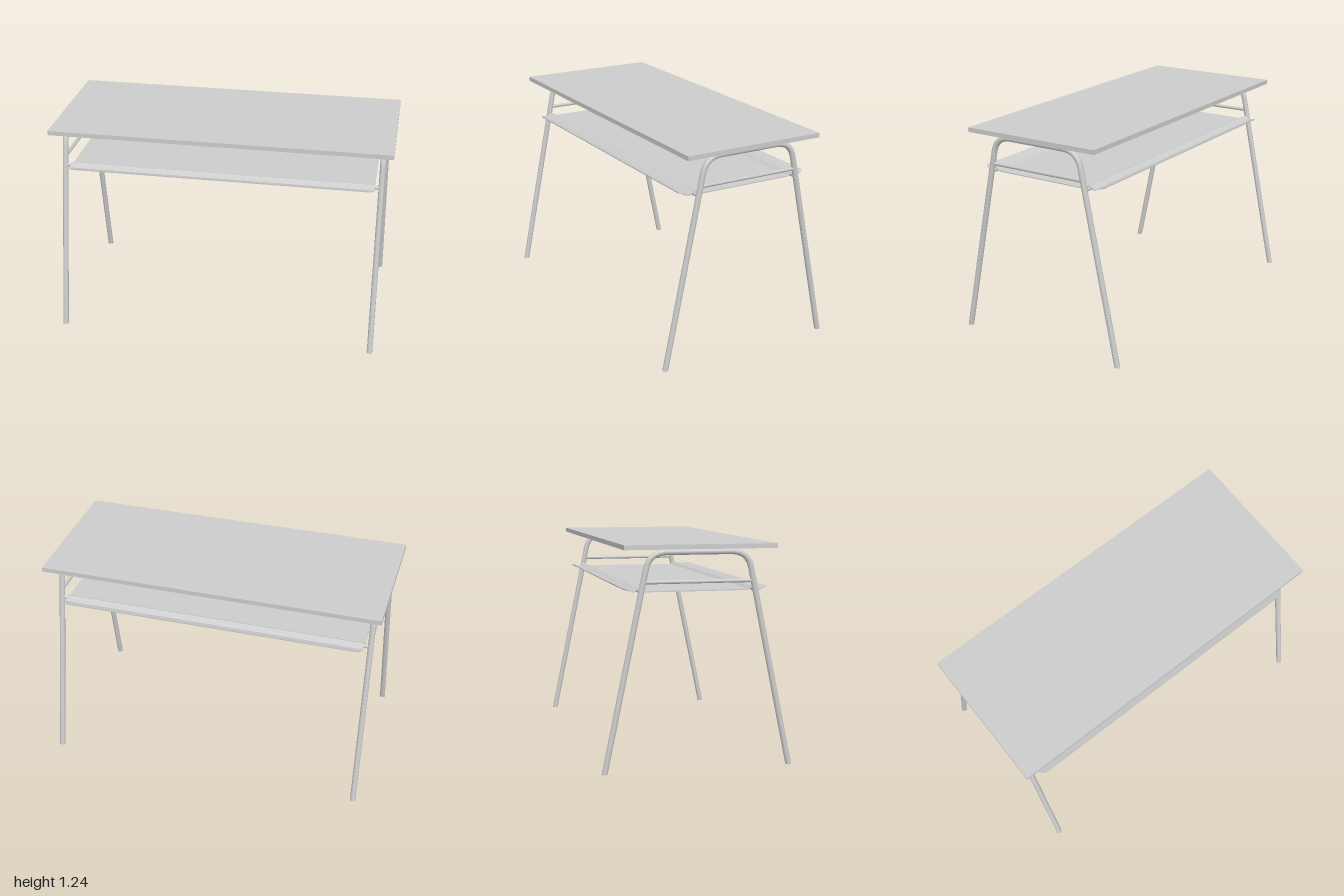
import * as THREE from 'three';
import { toCreasedNormals } from 'three/addons/utils/BufferGeometryUtils.js';

const material = new THREE.MeshStandardMaterial({ color: 0xcccccc });

function add(parent, name, geometry, x = 0, y = 0, z = 0) {
  const mesh = new THREE.Mesh(geometry, material);
  mesh.name = name;
  mesh.position.set(x, y, z);
  parent.add(mesh);
  return mesh;
}

// Bent tube: two splayed legs joined by a rounded top, cut flat at the floor
function legGeometry(radius) {
  const v = (z, y) => new THREE.Vector3(0, y, z);
  const path = new THREE.CurvePath();
  path.add(new THREE.LineCurve3(v(0.525, 0), v(0.294, 1.11)));
  path.add(new THREE.QuadraticBezierCurve3(v(0.294, 1.11), v(0.276, 1.201), v(0.175, 1.201)));
  path.add(new THREE.LineCurve3(v(0.175, 1.201), v(-0.175, 1.201)));
  path.add(new THREE.QuadraticBezierCurve3(v(-0.175, 1.201), v(-0.276, 1.201), v(-0.294, 1.11)));
  path.add(new THREE.LineCurve3(v(-0.294, 1.11), v(-0.525, 0)));
  const geometry = new THREE.TubeGeometry(path, 120, radius, 16);
  const p = geometry.attributes.position;
  for (let i = 0; i < p.count; i++) {
    if (p.getY(i) < 0.01) p.setY(i, 0);
  }
  return geometry;
}

// Thin tray whose edges rise over the support rods and end in a turned-up lip
function shelfGeometry(halfLength, thickness) {
  const half = [
    [0.405, 1.0], [0.402, 0.999], [0.395, 0.997], [0.385, 0.994], [0.37, 0.99], [0.357, 0.986],
    [0.335, 0.997], [0.322, 1.004], [0.308, 0.999], [0.292, 0.986],
  ];
  const line = [...half, ...half.map(([z, y]) => [-z, y]).reverse()];
  const outline = [
    ...line.map(([z, y]) => new THREE.Vector2(z, y + thickness / 2)),
    ...line.map(([z, y]) => new THREE.Vector2(z, y - thickness / 2)).reverse(),
  ];
  const geometry = new THREE.ExtrudeGeometry(new THREE.Shape(outline), {
    depth: 2 * halfLength, bevelEnabled: false,
  });
  geometry.translate(0, 0, -halfLength).rotateY(-Math.PI / 2);

  // Round the four lip corners in plan
  const r = 0.035, p = geometry.attributes.position;
  for (let i = 0; i < p.count; i++) {
    const d = Math.min(r, Math.max(0, Math.abs(p.getZ(i)) - (0.405 - r)));
    const inset = r - Math.sqrt(r * r - d * d);
    p.setX(i, Math.sign(p.getX(i)) * (halfLength - inset));
  }
  return toCreasedNormals(geometry, 0.3);
}

export function createModel() {
  const desk = new THREE.Group();
  desk.name = 'desk';

  add(desk, 'tabletop', new THREE.BoxGeometry(2, 0.026, 0.85), 0, 1.231, 0);

  // End frames
  const legRadius = 0.0165;
  for (const side of [-1, 1]) {
    const frame = new THREE.Group();
    frame.name = side > 0 ? 'leftFrame' : 'rightFrame';
    frame.position.x = side * 0.938;
    desk.add(frame);
    add(frame, 'legTube', legGeometry(legRadius));
    const bar = new THREE.CylinderGeometry(0.0105, 0.0105, 0.612, 12).rotateX(Math.PI / 2);
    add(frame, 'crossbar', bar, 0, 1.04, 0);
    for (const end of [-1, 1]) {
      const cap = new THREE.CircleGeometry(legRadius, 16).rotateX(Math.PI / 2);
      add(frame, 'footCap', cap, 0, 0, end * 0.525);
    }
  }

  // Shelf and the two long rods that carry it
  add(desk, 'shelf', shelfGeometry(0.9, 0.006));
  for (const end of [-1, 1]) {
    const rod = new THREE.CylinderGeometry(0.01, 0.01, 1.876, 12).rotateZ(Math.PI / 2);
    add(desk, end > 0 ? 'frontShelfRod' : 'backShelfRod', rod, 0, 0.99, end * 0.322);
  }
  return desk;
}
